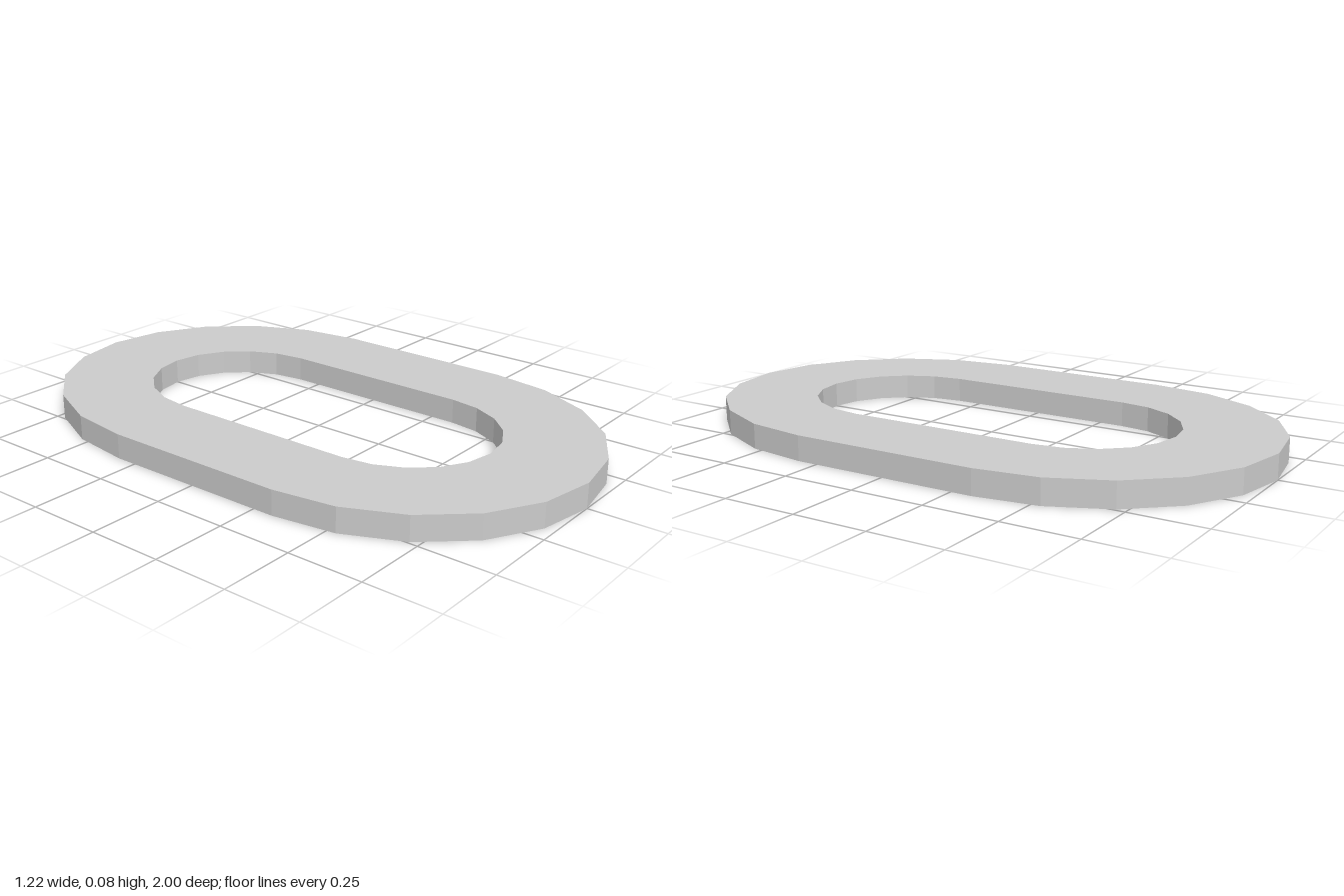
import * as THREE from 'three';

const THICKNESS = 0.083;
const SEGMENTS = 10; // facets in each rounded end

// Closed stadium outline: two faceted half-ellipses joined by straight sides
function stadium(rx, rz, centre) {
  const points = [];
  for (const end of [1, -1]) {
    for (let i = 0; i <= SEGMENTS; i++) {
      const a = (i / SEGMENTS) * Math.PI;
      points.push(new THREE.Vector2(end * rx * Math.cos(a), end * (centre + rz * Math.sin(a))));
    }
  }
  return points;
}

export function createModel() {
  const group = new THREE.Group();
  group.name = 'oblongLink';

  // Flat ring with an oblong opening, laid on the ground
  const shape = new THREE.Shape(stadium(0.61, 0.68, 0.32));
  shape.holes.push(new THREE.Path(stadium(0.305, 0.335, 0.335)));
  const geometry = new THREE.ExtrudeGeometry(shape, { depth: THICKNESS, bevelEnabled: false });
  geometry.rotateX(-Math.PI / 2);

  const ring = new THREE.Mesh(
    geometry,
    new THREE.MeshStandardMaterial({ color: 0xcccccc, flatShading: true })
  );
  ring.name = 'flatRing';
  group.add(ring);
  return group;
}
